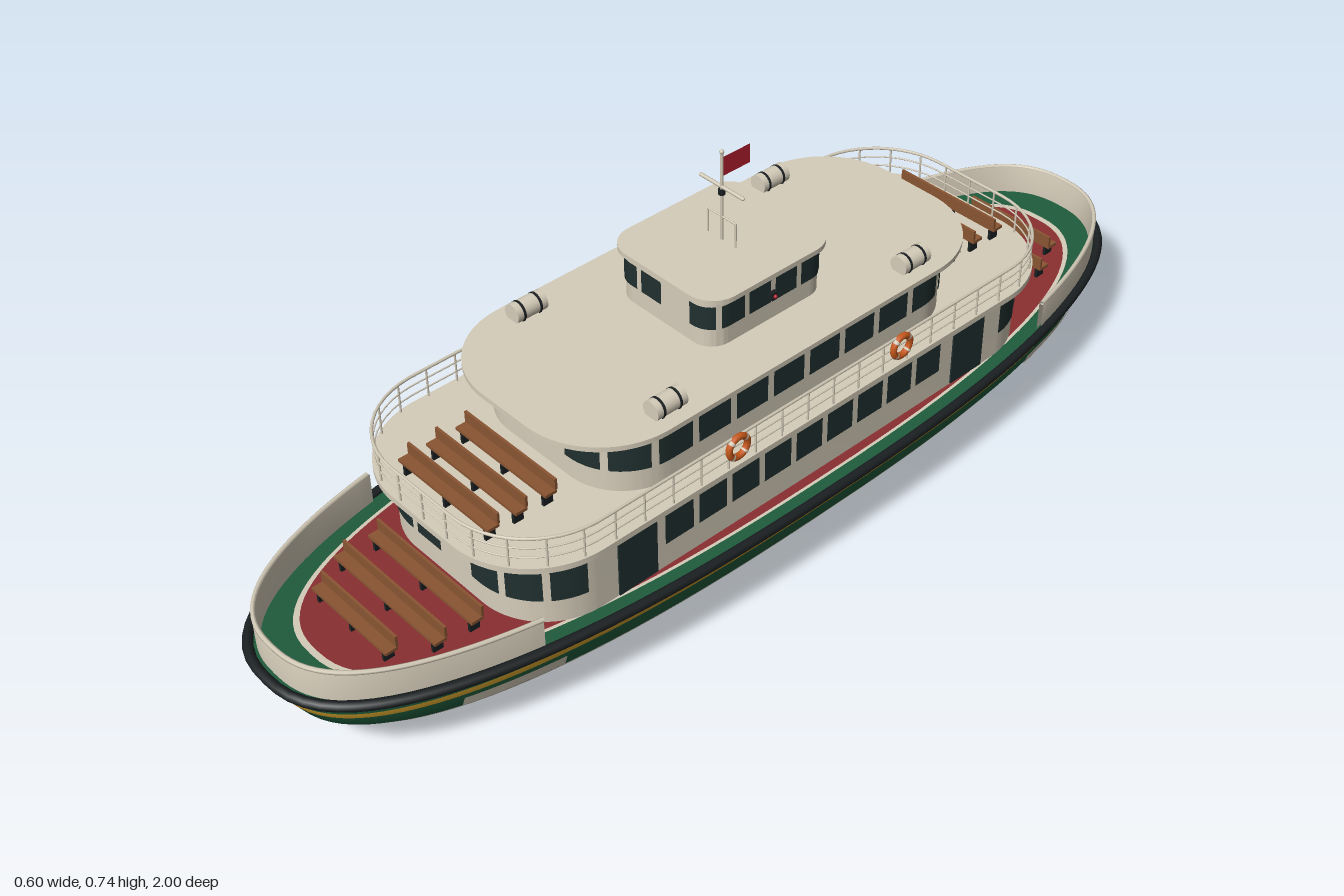
import * as THREE from 'three';
import { mergeGeometries, toCreasedNormals } from 'three/addons/utils/BufferGeometryUtils.js';

const mat = (name, color, side = THREE.FrontSide) => {
  const m = new THREE.MeshStandardMaterial({ color, side });
  m.name = name;
  return m;
};

export function createModel() {
  const cream = mat('cream paint', 0xd6cdba, THREE.DoubleSide);
  const green = mat('green hull paint', 0x1f5c3d);
  const bottomRed = mat('bottom red', 0x6a2024);
  const deckRed = mat('deck red', 0x8a2f31);
  const yellow = mat('yellow stripe', 0xcc9a2a);
  const black = mat('black rubber', 0x1b2022);
  const glass = mat('dark glass', 0x20302f, THREE.DoubleSide);
  const wood = mat('bench wood', 0x8a5533);
  const orange = mat('life ring orange', 0xc8591c);
  const flagRed = mat('flag red', 0xb8202f, THREE.DoubleSide);

  const model = new THREE.Group();
  const add = (name, geo, material, parent = model) => {
    const m = new THREE.Mesh(geo, material);
    m.name = name;
    parent.add(m);
    return m;
  };
  const box = (w, h, d, x, y, z) => new THREE.BoxGeometry(w, h, d).translate(x, y, z);
  const rod = (r, h, x, y, z) => new THREE.CylinderGeometry(r, r, h, 8).translate(x, y, z);

  // Surface through rows of points; each row may start a new material group
  const loft = (rows, closed, mats) => {
    const n = rows[0].length, cols = closed ? n : n - 1, idx = [];
    const g = new THREE.BufferGeometry().setFromPoints(rows.flat());
    for (let i = 0; i < rows.length - 1; i++) {
      for (let j = 0; j < cols; j++) {
        const a = i * n + j, b = i * n + (j + 1) % n;
        idx.push(a, a + n, b, b, a + n, b + n);
      }
      if (mats) g.addGroup(i * cols * 6, cols * 6, mats[i]);
    }
    g.setIndex(idx);
    g.computeVertexNormals();
    return g;
  };

  // Hull plan: superellipse, with the deck edge rising toward both ends
  const N = 2.5, SEG = 112;
  const sheer = z => 0.016 * z * z;
  const plan = (a, l, t) => {
    const c = Math.cos(t), s = Math.sin(t);
    return [a * Math.sign(c) * Math.abs(c) ** (2 / N), l * Math.sign(s) * Math.abs(s) ** (2 / N)];
  };
  const ring = (a, l, y, rise = 0) => Array.from({ length: SEG }, (_, j) => {
    const [x, z] = plan(a, l, j / SEG * Math.PI * 2);
    return new THREE.Vector3(x, y + rise * sheer(z), z);
  });

  // Hull levels: half width, half length, height, material of the band above
  const levels = [
    [0.001, 0.7, 0, 0], [0.035, 0.75, 0, 0], [0.09, 0.765, 0.005, 0], [0.14, 0.79, 0.015, 0],
    [0.187, 0.83, 0.03, 0], [0.227, 0.88, 0.05, 0], [0.254, 0.92, 0.072, 1], [0.258, 0.928, 0.079, 2],
    [0.272, 0.955, 0.1, 2], [0.282, 0.974, 0.132, 3], [0.284, 0.979, 0.145, 2], [0.289, 0.986, 0.16, 2],
  ];
  add('hull', loft(levels.map(([a, l, y], i) => ring(a, l, y, i === 11 ? 1 : 0)), true, levels.map(v => v[3])),
    [bottomRed, cream, green, yellow]);
  add('mainDeck', loft([[0.289, 0.986], [0.256, 0.908], [0.25, 0.896], [0.001, 0.5]]
    .map(([a, l]) => ring(a, l, 0.16, 1)), true, [0, 1, 2]), [green, cream, deckRed]);
  add('rubRail', new THREE.TubeGeometry(new THREE.CatmullRomCurve3(ring(0.289, 0.99, 0.159, 1), true), 160, 0.0095, 8, true), black);

  // Bulwark and light hull panels at each end
  const arcZ = z => Math.asin((z / 0.975) ** (N / 2));
  for (const s of [1, -1]) {
    const t0 = arcZ(0.62), row = (a, l, y, rise) => Array.from({ length: 49 }, (_, j) => {
      const [x, z] = plan(a, l, t0 + (Math.PI - 2 * t0) * j / 48);
      return new THREE.Vector3(x * s, y + rise * sheer(z), z * s);
    });
    add('bulwark', loft([row(0.284, 0.975, 0.16, 1), row(0.284, 0.975, 0.222, 0.9),
      row(0.277, 0.967, 0.222, 0.9), row(0.277, 0.967, 0.16, 1)], false), cream);
    add('bulwarkCap', new THREE.TubeGeometry(new THREE.CatmullRomCurve3(row(0.281, 0.972, 0.222, 0.9)), 60, 0.0045, 6), cream);
    for (const side of [1, -1]) {
      const strip = [[0.272, 0.955, 0.1], [0.2795, 0.969, 0.124]].map(([a, l, y]) =>
        Array.from({ length: 9 }, (_, j) => {
          const z = 0.58 + 0.18 * j / 8;
          const x = (a + 0.003) * (1 - (z / (l + 0.003)) ** N) ** (1 / N);
          return new THREE.Vector3(x * side, y, z * s);
        }));
      if (s * side < 0) strip.forEach(r => r.reverse());
      add('hullPanel', loft(strip, false), cream);
    }
  }

  // Rounded rectangle outline starting at the middle of the front edge
  const outline = (w, l, r) => {
    const p = new THREE.Shape(), x = w - r, y = l - r, q = Math.PI / 2;
    p.moveTo(0, l);
    p.lineTo(x, l);
    p.absarc(x, y, r, q, 0, true);
    p.lineTo(w, -y);
    p.absarc(x, -y, r, 0, -q, true);
    p.lineTo(-x, -l);
    p.absarc(-x, -y, r, -q, -2 * q, true);
    p.lineTo(-w, y);
    p.absarc(-x, y, r, 2 * q, q, true);
    p.lineTo(0, l);
    return p;
  };
  const slab = (name, w, l, r, y0, y1) => {
    const g = new THREE.ExtrudeGeometry(outline(w, l, r), { depth: y1 - y0, bevelEnabled: false, curveSegments: 16 });
    add(name, toCreasedNormals(g.rotateX(-Math.PI / 2).translate(0, y0, 0), 0.6), cream);
  };
  // Row of windows wrapped round a cabin wall
  const windows = (name, w, l, r, y0, y1, start, width, pitch, skip = () => false) => {
    const path = outline(w + 0.003, l + 0.003, r + 0.003), total = path.getLength(), parts = [];
    for (let s = start; s + width < total + 0.026; s += pitch) {
      const pts = Array.from({ length: 9 }, (_, k) => path.getPoint(((s + width * k / 8) / total) % 1));
      if (skip(pts[4])) continue;
      parts.push(loft([y1, y0].map(y => pts.map(p => new THREE.Vector3(p.x, y, p.y))), false));
    }
    add(name, mergeGeometries(parts), glass);
  };

  // Three tiers of superstructure
  slab('lowerCabin', 0.232, 0.63, 0.14, 0.155, 0.304);
  windows('lowerWindows', 0.232, 0.63, 0.14, 0.215, 0.28, 0.072, 0.064, 0.077,
    p => Math.abs(p.x) > 0.2 && Math.abs(Math.abs(p.y) - 0.41) < 0.075);
  slab('promenadeDeck', 0.255, 0.672, 0.175, 0.303, 0.315);
  slab('upperCabin', 0.202, 0.425, 0.12, 0.314, 0.436);
  windows('upperWindows', 0.202, 0.425, 0.12, 0.36, 0.418, 0.075, 0.073, 0.087);
  slab('upperRoof', 0.223, 0.49, 0.165, 0.435, 0.445);
  slab('wheelhouse', 0.121, 0.14, 0.042, 0.444, 0.544);
  windows('wheelhouseWindows', 0.121, 0.14, 0.042, 0.483, 0.53, 0.072, 0.051, 0.062);
  slab('wheelhouseRoof', 0.136, 0.152, 0.055, 0.542, 0.552);
  for (const x of [-1, 1]) for (const z of [-1, 1])
    add('sideDoor', box(0.006, 0.115, 0.085, x * 0.232, 0.2225, z * 0.41), glass);

  // Promenade railing
  const railPath = outline(0.25, 0.667, 0.17), railParts = [];
  for (const [y, r] of [[0.375, 0.003], [0.355, 0.0016], [0.335, 0.0016]]) {
    const pts = railPath.getSpacedPoints(120).slice(0, -1).map(p => new THREE.Vector3(p.x, y, p.y));
    railParts.push(new THREE.TubeGeometry(new THREE.CatmullRomCurve3(pts, true), 160, r, 6, true));
  }
  for (let i = 0; i < 54; i++) {
    const p = railPath.getPoint(i / 54);
    railParts.push(rod(0.002, 0.062, p.x, 0.344, p.y));
  }
  add('promenadeRailing', mergeGeometries(railParts), cream);

  // Benches at both ends of both decks
  const bench = (z, y, half, s) => {
    const g = new THREE.Group();
    g.name = 'bench';
    add('benchPlanks', mergeGeometries([
      box(half * 2, 0.006, 0.024, 0, 0.027, 0),
      box(half * 2, 0.022, 0.005, 0, 0.042, -0.011),
    ]), wood, g);
    add('benchLegs', mergeGeometries([-1, 0, 1].map(k =>
      box(0.006, 0.026, 0.02, k * (half - 0.012), 0.012, 0))), black, g);
    g.position.set(0, y, z * s);
    g.rotation.y = s > 0 ? 0 : Math.PI;
    model.add(g);
  };
  for (const s of [1, -1]) {
    for (const z of [0.495, 0.557, 0.615]) bench(z, 0.315, 0.12, s);
    for (const [z, half] of [[0.678, 0.143], [0.75, 0.14], [0.82, 0.103]]) bench(z, 0.167, half, s);
  }

  // Life rings on the railing, raft canisters on the roof
  for (const x of [-1, 1]) for (const z of [-1, 1]) {
    const life = new THREE.Group();
    life.name = 'lifeRing';
    add('ringBody', new THREE.TorusGeometry(0.021, 0.0065, 10, 28), orange, life);
    for (let k = 0; k < 4; k++)
      add('ringBand', new THREE.TorusGeometry(0.021, 0.0072, 10, 4, 0.25).rotateZ(k * Math.PI / 2 + 0.66), cream, life);
    life.rotation.y = Math.PI / 2;
    life.position.set(x * 0.253, 0.354, z * 0.2);
    model.add(life);

    const raft = new THREE.Group();
    raft.name = 'lifeRaft';
    add('canister', new THREE.CylinderGeometry(0.019, 0.019, 0.066, 20).rotateX(Math.PI / 2), cream, raft);
    for (const b of [-0.018, 0.018]) {
      add('canisterStrap', new THREE.CylinderGeometry(0.0196, 0.0196, 0.005, 20).rotateX(Math.PI / 2).translate(0, 0, b), black, raft);
      add('cradle', box(0.03, 0.008, 0.006, 0, -0.016, b), black, raft);
    }
    raft.position.set(x * 0.18, 0.459, z * 0.295);
    model.add(raft);
  }

  // Mast, yard, roof frame, lamps and flag
  add('mast', rod(0.003, 0.18, 0, 0.64, 0), cream);
  add('mastCap', new THREE.SphereGeometry(0.0045, 10, 8).translate(0, 0.731, 0), cream);
  add('yard', new THREE.CapsuleGeometry(0.0035, 0.105, 4, 8).rotateZ(Math.PI / 2).translate(0, 0.661, 0), cream);
  add('mastLamp', rod(0.0065, 0.011, 0, 0.651, 0), black);
  add('roofFrame', mergeGeometries([rod(0.0018, 0.05, -0.035, 0.576, 0), rod(0.0018, 0.05, 0.035, 0.576, 0),
    rod(0.0018, 0.072, 0, 0, 0).rotateZ(Math.PI / 2).translate(0, 0.6, 0)]), cream);
  for (const x of [-1, 1]) {
    add('sideLamp', box(0.008, 0.016, 0.012, x * 0.129, 0.5, 0), black);
    add('sideLampLens', new THREE.SphereGeometry(0.004, 8, 6).translate(x * 0.134, 0.5, 0), x > 0 ? flagRed : green);
  }
  add('flag', new THREE.PlaneGeometry(0.064, 0.038).rotateY(Math.PI / 2).translate(0, 0.7, -0.034), flagRed);

  return model;
}
